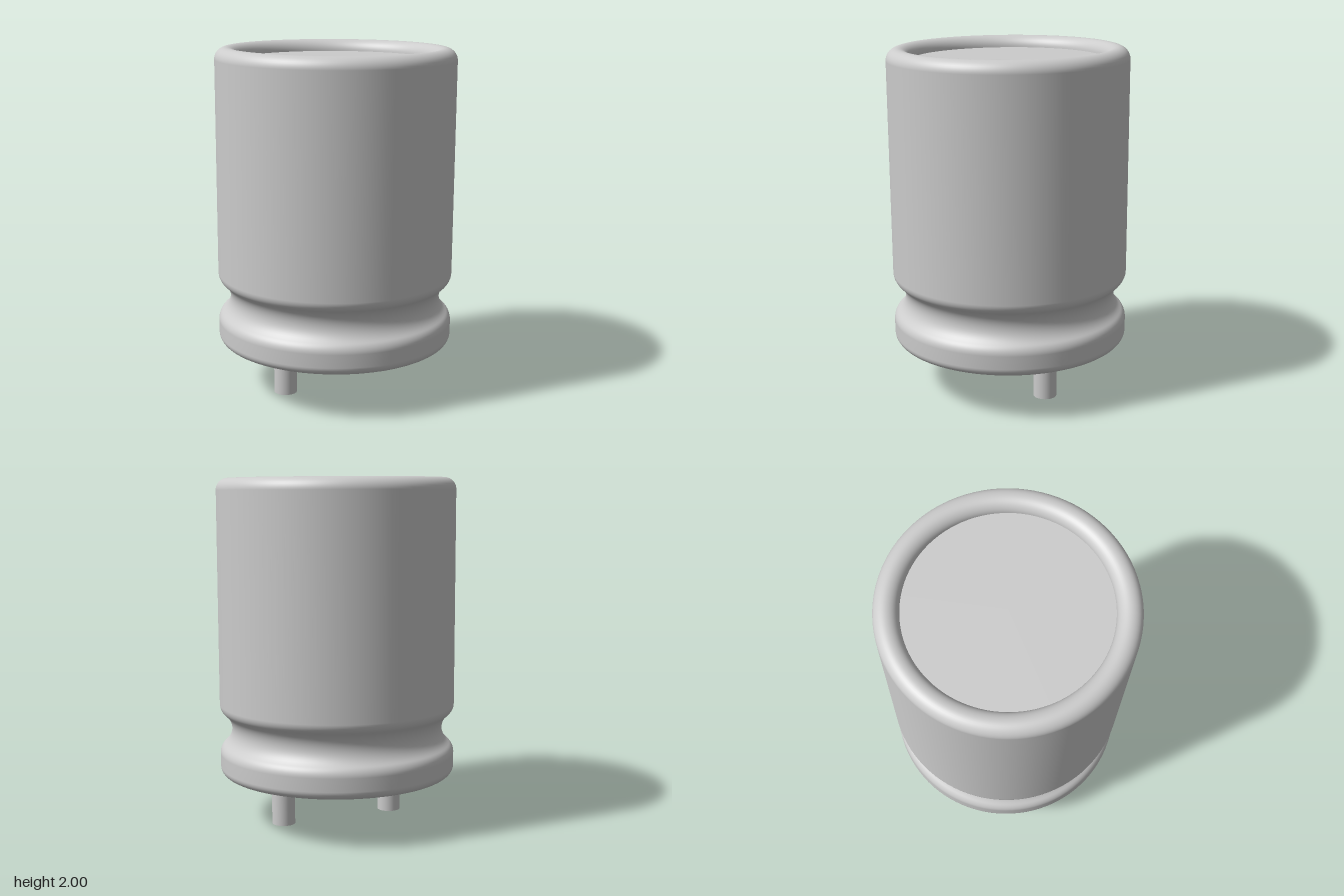
import * as THREE from 'three';

const R = 0.685; // can radius

export function createModel() {
  const model = new THREE.Group();
  const material = new THREE.MeshStandardMaterial({ color: 0xcccccc });
  const add = (name, geometry, x, y) => {
    const mesh = new THREE.Mesh(geometry, material);
    mesh.name = name;
    mesh.position.set(x, y - 1, 0); // the tilt turns about mid-height
    model.add(mesh);
    return mesh;
  };

  // Can wall profile, from the inner bottom lip up to the inner top rim
  const profile = [];
  const arc = (cx, cy, r, from, to, steps) => {
    for (let i = 0; i <= steps; i++) {
      const a = from + ((to - from) * i) / steps;
      profile.push(new THREE.Vector2(cx + r * Math.cos(a), cy + r * Math.sin(a)));
    }
  };
  const bend = Math.atan2(0.145, 0.115);
  arc(R - 0.05, 0.33, 0.05, Math.PI, 2 * Math.PI, 16); // rolled bottom lip
  arc(R - 0.07, 0.405, 0.07, 0, bend, 8); // shoulder below the groove
  arc(R + 0.045, 0.55, 0.115, Math.PI + bend, Math.PI - bend, 16); // crimp groove
  arc(R - 0.07, 0.695, 0.07, -bend, 0, 8); // shoulder above the groove
  arc(R - 0.068, 1.925, 0.068, 0, Math.PI, 20); // rolled top rim
  // Drop the doubled points where arcs meet
  const points = profile.filter((p, i) => i === 0 || p.distanceTo(profile[i - 1]) > 1e-4);
  add('can', new THREE.LatheGeometry(points, 96), 0, 0);

  // Recessed end discs
  add('topLid', new THREE.CircleGeometry(R - 0.136, 96), 0, 1.925).rotation.x = -Math.PI / 2;
  add('bottomSeal', new THREE.CircleGeometry(R - 0.1, 96), 0, 0.33).rotation.x = Math.PI / 2;

  // Pair of lead pins
  for (const [name, side] of [['leftPin', 1], ['rightPin', -1]]) {
    add(name, new THREE.CylinderGeometry(0.067, 0.067, 0.34, 40), side * 0.345, 0.17);
  }

  // The whole part leans very slightly forward
  model.rotation.x = 0.009;
  model.position.y = 1;
  const group = new THREE.Group();
  model.name = 'capacitor';
  group.add(model);
  return group;
}
